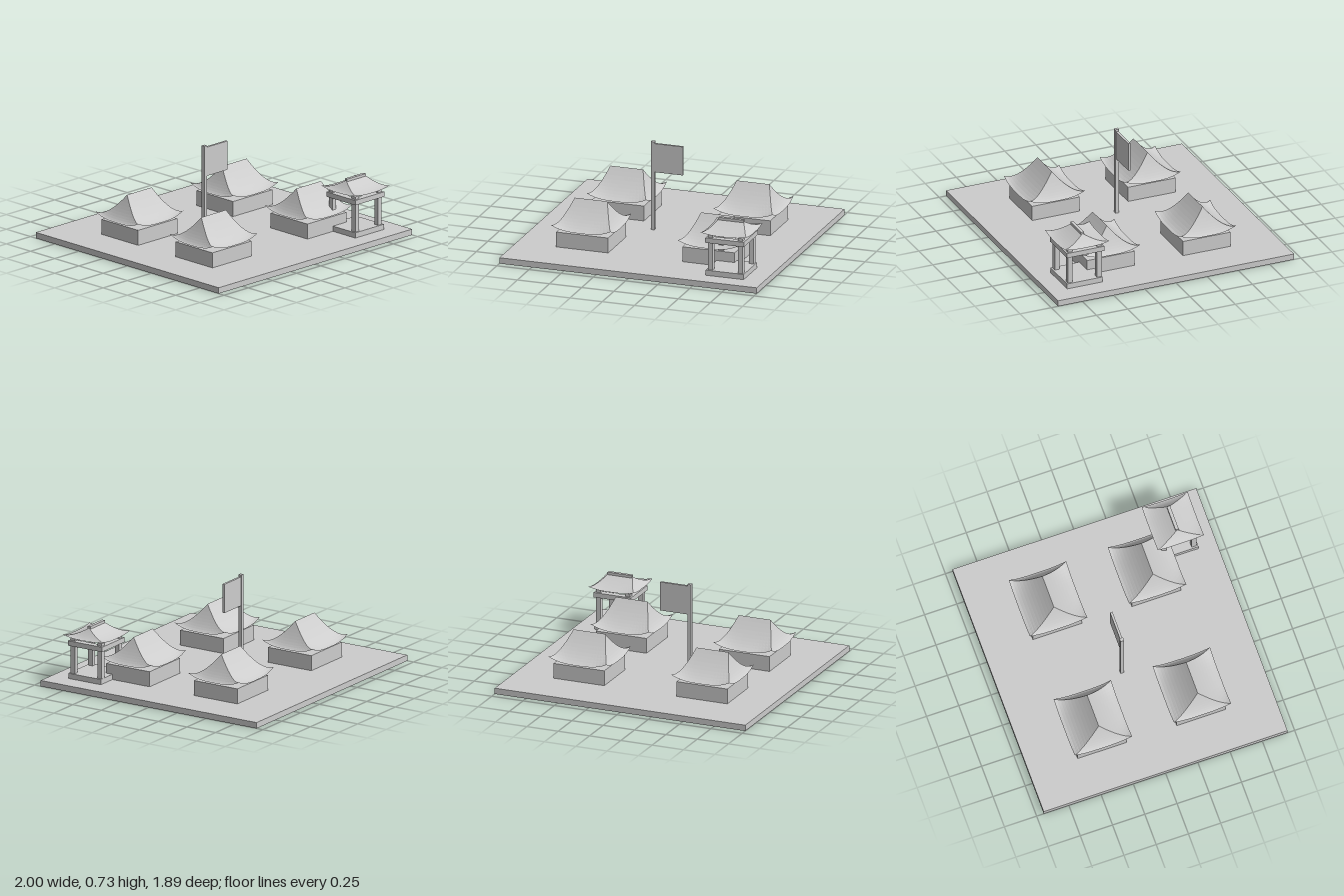
import * as THREE from 'three';

const stone = new THREE.MeshStandardMaterial({ color: 0xcccccc, side: THREE.DoubleSide });
stone.name = 'pale grey';

function box(name, w, h, d, x, y0, z) {
  const mesh = new THREE.Mesh(new THREE.BoxGeometry(w, h, d), stone);
  mesh.name = name;
  mesh.position.set(x, y0 + h / 2, z);
  return mesh;
}

// Open hipped roof: concave slopes, straight hips in plan, upturned corners
function hipRoof(name, halfW, halfD, ridgeHalf, eaveY, ridgeY, lift) {
  const rows = 10, cols = 16, pos = [];
  const corners = [[1, 1], [1, -1], [-1, -1], [-1, 1]];
  const point = (side, t, s) => {
    const [ax, az] = corners[side], [bx, bz] = corners[(side + 1) % 4];
    const k = (s + 1) / 2;
    const sx = ax + (bx - ax) * k, sz = az + (bz - az) * k;
    const y = eaveY + (ridgeY - eaveY) * Math.pow(1 - t, 1.5)
      + lift * Math.pow(Math.abs(s), 3) * t ** 3;
    return [sx * (ridgeHalf + (halfW - ridgeHalf) * t), y, sz * halfD * t];
  };
  for (let side = 0; side < 4; side++) {
    for (let i = 0; i < rows; i++) {
      for (let j = 0; j < cols; j++) {
        const s0 = -1 + 2 * j / cols, s1 = -1 + 2 * (j + 1) / cols;
        const a = point(side, i / rows, s0), b = point(side, i / rows, s1);
        const c = point(side, (i + 1) / rows, s0), d = point(side, (i + 1) / rows, s1);
        pos.push(...a, ...c, ...d);
        // The end slopes start from a single point
        if (i > 0 || side % 2 === 1) pos.push(...a, ...d, ...b);
      }
    }
  }
  const geo = new THREE.BufferGeometry();
  geo.setAttribute('position', new THREE.Float32BufferAttribute(pos, 3));
  geo.computeVertexNormals();
  const mesh = new THREE.Mesh(geo, stone);
  mesh.name = name;
  return mesh;
}

function house(x, z) {
  const g = new THREE.Group();
  g.name = 'house';
  g.position.set(x, 0, z);
  g.add(box('houseWalls', 0.405, 0.115, 0.38, 0, 0.045, 0));
  g.add(hipRoof('houseRoof', 0.232, 0.222, 0.127, 0.18, 0.373, 0.04));
  return g;
}

function pavilion(x, z) {
  const g = new THREE.Group();
  g.name = 'pavilion';
  g.position.set(x, 0, z);
  g.add(box('pavilionFloor', 0.295, 0.04, 0.285, 0, 0.045, 0.005));
  for (const s of [-1, 1]) {
    for (const t of [-1, 1]) {
      g.add(box('pavilionPost', 0.037, 0.27, 0.037, s * 0.117, 0.085, t * 0.117));
    }
    // Square frame of beams around the posts
    g.add(box('crossBeam', 0.3, 0.037, 0.05, 0, 0.297, s * 0.125));
    g.add(box('sideBeam', 0.05, 0.037, 0.2, s * 0.125, 0.297, 0));
  }
  g.add(hipRoof('pavilionRoof', 0.178, 0.178, 0.095, 0.366, 0.443, 0.018));
  g.add(box('ridgeBar', 0.192, 0.02, 0.025, 0, 0.435, 0));
  return g;
}

export function createModel() {
  const model = new THREE.Group();
  model.name = 'courtyard';
  model.add(box('groundSlab', 2, 0.045, 1.89, 0, 0, 0));

  for (const x of [-0.491, 0.491]) {
    for (const z of [-0.384, 0.384]) model.add(house(x, z));
  }
  model.add(pavilion(0.7, 0.657));

  // Flagpole and flag
  const flag = new THREE.Group();
  flag.name = 'flagpole';
  flag.add(box('pole', 0.028, 0.68, 0.028, -0.161, 0.045, -0.043));
  flag.add(box('flag', 0.235, 0.22, 0.018, -0.046, 0.49, -0.043));
  model.add(flag);
  return model;
}
